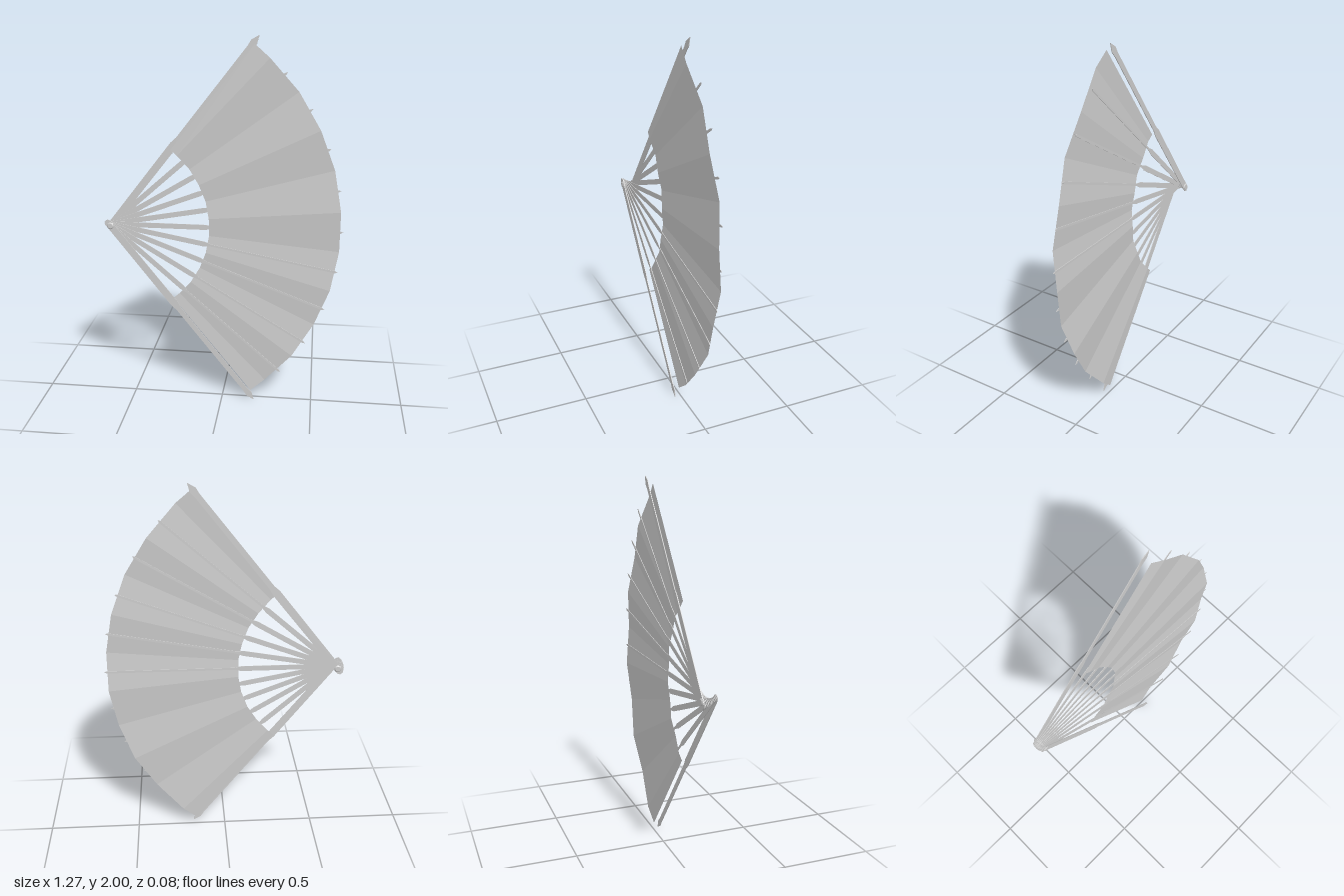
import * as THREE from 'three';

const PIVOT = [-0.6, 1.0];
const STEP = THREE.MathUtils.degToRad(10.4); // angle between neighbouring sticks
const HALF = 5;                              // sticks on each side of the middle one
const LAYER = 0.0066;                        // depth between stacked sticks

// Flat stick along +x, mirrored from [distance, halfWidth] pairs
function stickGeometry(profile, depth) {
  const upper = profile.map(([x, w]) => new THREE.Vector2(x, w));
  const lower = profile.filter(([, w]) => w > 0).map(([x, w]) => new THREE.Vector2(x, -w));
  const shape = new THREE.Shape([...lower, ...upper.reverse()]);
  const geo = new THREE.ExtrudeGeometry(shape, { depth, bevelEnabled: false });
  return geo.translate(0, 0, -depth / 2);
}

// Pleated sheet: folds lie midway between sticks and alternate in depth
function leafGeometry(inner, outer) {
  const folds = [[-HALF * STEP * 0.993, 0]];
  for (let k = -HALF; k < HALF; k++) folds.push([(k + 0.5) * STEP, k % 2 === 0 ? 1 : -1]);
  folds.push([HALF * STEP * 0.993, 0]);
  const point = ([a, s], r) => [Math.cos(a) * r, Math.sin(a) * r, 0.002 + s * 0.008 * (r / outer)];
  const pos = [];
  for (let i = 0; i < folds.length - 1; i++) {
    const a = point(folds[i], inner), b = point(folds[i], outer);
    const c = point(folds[i + 1], outer), d = point(folds[i + 1], inner);
    pos.push(...a, ...b, ...c, ...a, ...c, ...d);
  }
  const geo = new THREE.BufferGeometry();
  geo.setAttribute('position', new THREE.Float32BufferAttribute(pos, 3));
  geo.computeVertexNormals();
  return geo;
}

export function createModel() {
  const grey = new THREE.MeshStandardMaterial({ color: 0xcccccc, side: THREE.DoubleSide });
  grey.name = 'pale grey';

  const fan = new THREE.Group();
  fan.name = 'foldingFan';
  fan.position.set(PIVOT[0], PIVOT[1], 0);
  const add = (geo, name) => {
    const mesh = new THREE.Mesh(geo, grey);
    mesh.name = name;
    fan.add(mesh);
    return mesh;
  };

  // Sticks: wide near the rivet, slim along the leaf
  const rib = stickGeometry([
    [-0.036, 0.008], [-0.024, 0.014], [0.51, 0.014], [0.55, 0.006], [1.222, 0.006], [1.236, 0],
  ], 0.003);
  // Outer guards: broader, with a shoulder and a spear tip
  const guard = stickGeometry([
    [-0.036, 0.01], [-0.022, 0.019], [0.55, 0.021], [0.59, 0.014], [1.19, 0.014], [1.225, 0.018], [1.268, 0],
  ], 0.004);

  for (let i = -HALF; i <= HALF; i++) {
    const isGuard = Math.abs(i) === HALF;
    const stick = add(isGuard ? guard : rib, isGuard ? 'guard' : 'rib');
    stick.rotation.z = i * STEP;
    stick.position.z = -i * LAYER;
  }

  // Pleated leaf
  add(leafGeometry(0.53, 1.224), 'leaf');

  // Rivet pin with a cap on each side
  add(new THREE.CylinderGeometry(0.01, 0.01, 0.07, 8).rotateX(Math.PI / 2), 'rivetPin');
  for (const s of [1, -1]) {
    const cap = add(new THREE.CylinderGeometry(0.014, 0.021, 0.006, 8).rotateX(s * Math.PI / 2), 'rivetCap');
    cap.position.z = s * 0.037;
  }

  const model = new THREE.Group();
  model.name = 'fan';
  model.add(fan);
  return model;
}
